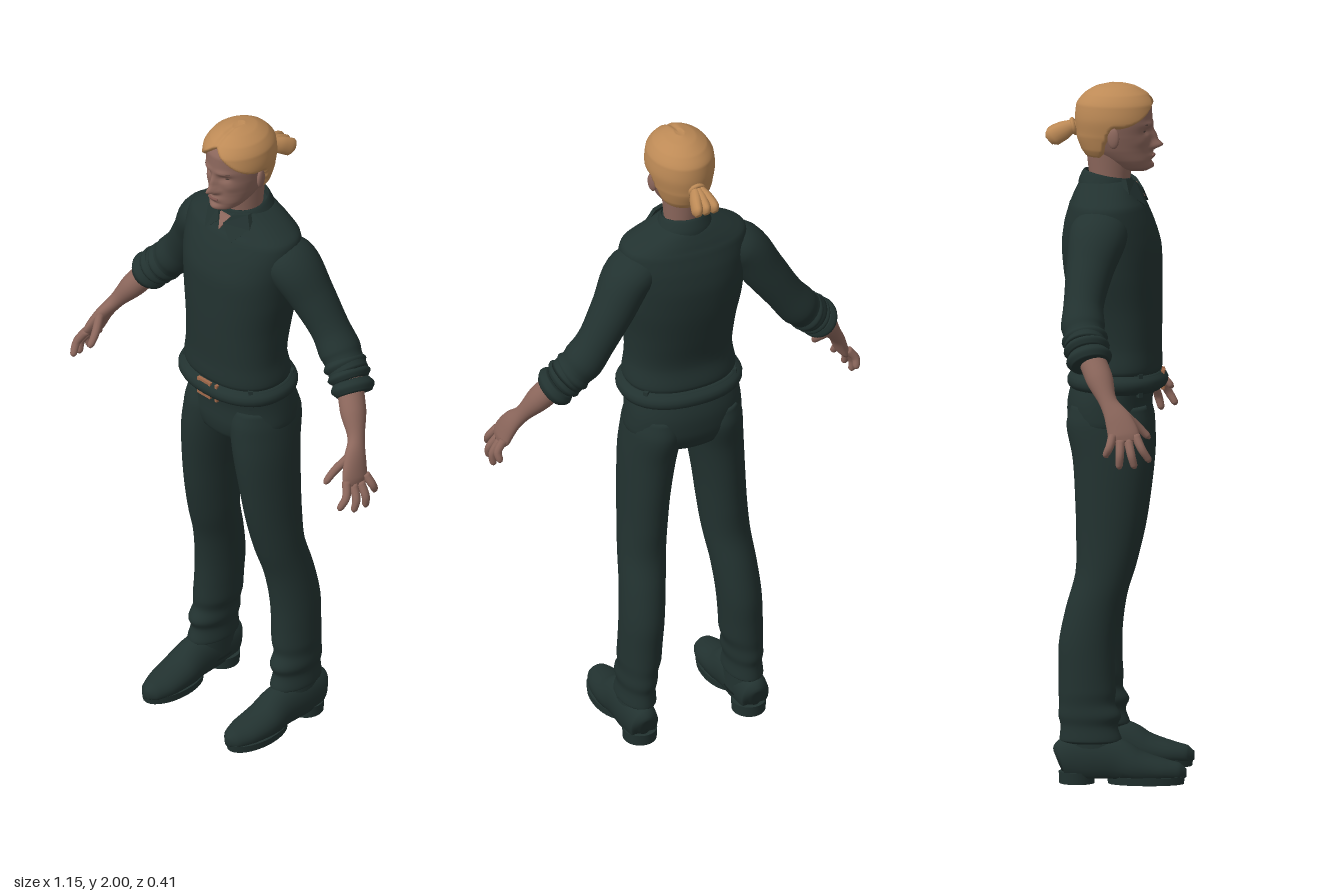
import * as THREE from 'three';

const mat = (name, color, side = THREE.FrontSide) => {
  const m = new THREE.MeshStandardMaterial({ color, side });
  m.name = name;
  return m;
};
const X = new THREE.Vector3(1, 0, 0), Y = new THREE.Vector3(0, 1, 0), Z = new THREE.Vector3(0, 0, 1);

// Smooth skin over elliptical sections [x, y, z, radiusAlongRef, radiusAcross].
// flat keeps every section horizontal; e squares the section; warp moves each vertex.
function loft(rows, { ref = Z, flat = false, seg = 24, steps = 5, e = 2, caps = true, warp } = {}) {
  const path = new THREE.CatmullRomCurve3(rows.map(r => new THREE.Vector3(r[0], r[1], r[2])));
  const radii = new THREE.CatmullRomCurve3(rows.map(r => new THREE.Vector3(r[3], r[4], 0)));
  const n = (rows.length - 1) * steps, pos = [], idx = [];
  const power = v => Math.sign(v) * Math.abs(v) ** (2 / e);
  const push = v => { if (warp) warp(v); pos.push(v.x, v.y, v.z); };
  for (let i = 0; i <= n; i++) {
    const p = path.getPoint(i / n), r = radii.getPoint(i / n);
    const t = flat ? Y : path.getTangent(i / n);
    const axis = flat ? X : ref;
    const w = axis.clone().addScaledVector(t, -axis.dot(t)).normalize();
    const d = new THREE.Vector3().crossVectors(t, w);
    for (let j = 0; j < seg; j++) {
      const a = j / seg * Math.PI * 2;
      push(p.clone().addScaledVector(w, power(Math.cos(a)) * r.x).addScaledVector(d, power(Math.sin(a)) * r.y));
      if (i < n) {
        const k = (j + 1) % seg, A = i * seg + j, B = i * seg + k;
        idx.push(A, B, B + seg, A, B + seg, A + seg);
      }
    }
  }
  if (caps) {
    const c = pos.length / 3;
    push(path.getPoint(0));
    push(path.getPoint(1));
    for (let j = 0; j < seg; j++) {
      const k = (j + 1) % seg;
      idx.push(c, k, j, c + 1, n * seg + j, n * seg + k);
    }
  }
  const g = new THREE.BufferGeometry();
  g.setAttribute('position', new THREE.Float32BufferAttribute(pos, 3));
  g.setIndex(idx);
  g.computeVertexNormals();
  return g;
}
// Horizontal section given by height, half width, front z and back z
const level = (y, rx, front, back, x = 0) => [x, y, (front + back) / 2, rx, (front - back) / 2];
const bump = (v, x, y, sx, sy) => Math.exp(-(((v.x - x) / sx) ** 2) - ((v.y - y) / sy) ** 2);
const smooth = THREE.MathUtils.smoothstep;

export function createModel() {
  const model = new THREE.Group();
  const cloth = mat('dark green cloth', 0x223230), skin = mat('skin', 0x8c675c), hair = mat('blond hair', 0xbd8a56);
  const brown = mat('buckle brown', 0xa0694a), dark = mat('eye dark', 0x453631), lip = mat('lips', 0x7c544d);
  const add = (name, geo, material, parent = model) => {
    const m = new THREE.Mesh(geo, material);
    m.name = name;
    parent.add(m);
    return m;
  };
  const ball = (name, material, x, y, z, rx, ry, rz) => {
    const m = add(name, new THREE.SphereGeometry(1, 16, 12), material);
    m.position.set(x, y, z);
    m.scale.set(rx, ry, rz);
    return m;
  };

  // Shirt body and trouser seat
  add('shirt', loft([level(1.16, .155, .108, -.12), level(1.185, .167, .12, -.13), level(1.25, .158, .118, -.12),
    level(1.35, .162, .12, -.14), level(1.45, .177, .12, -.16), level(1.53, .185, .117, -.167), level(1.6, .192, .097, -.16),
    level(1.655, .188, .072, -.145), level(1.685, .145, .05, -.132), level(1.715, .085, .032, -.115), level(1.725, .06, .025, -.1)],
    { flat: true, seg: 40, e: 2.25 }), cloth);
  add('trouserSeat', loft([level(.945, .04, .04, -.08), level(.975, .13, .083, -.13), level(1.03, .176, .092, -.15),
    level(1.09, .172, .092, -.15), level(1.16, .163, .11, -.13)], { flat: true, seg: 36, e: 2.2 }), cloth);

  // Belt with buckle, keeper and loops
  add('belt', loft([level(1.118, .166, .112, -.134), level(1.123, .171, .12, -.138), level(1.167, .171, .122, -.136),
    level(1.172, .165, .116, -.13)], { flat: true, seg: 40, e: 2.25 }), cloth);
  const frame = new THREE.Shape([[-.03, -.027], [.022, -.027], [.022, .027], [-.03, .027]].map(p => new THREE.Vector2(...p)));
  frame.holes.push(new THREE.Path([[-.022, -.019], [-.022, .019], [.014, .019], [.014, -.019]].map(p => new THREE.Vector2(...p))));
  add('buckle', new THREE.ExtrudeGeometry(frame, { depth: .01, bevelEnabled: false }), brown).position.set(0, 1.145, .118);
  add('bucklePin', new THREE.BoxGeometry(.04, .005, .006), brown).position.set(-.004, 1.145, .125);
  add('beltKeeper', new THREE.BoxGeometry(.009, .056, .01), brown).position.set(.042, 1.145, .12);
  for (const a of [.9, 2.2, 4.1, 5.3]) {
    const m = add('beltLoop', new THREE.BoxGeometry(.014, .066, .012), cloth);
    m.position.set(Math.sin(a) * .171, 1.144, -.008 + Math.cos(a) * .133);
    m.rotation.y = a;
  }

  // Neck and folded collar
  add('neck', loft([[0, 1.66, -.03, .05, .05], [0, 1.74, -.03, .054, .06], [0, 1.83, -.03, .06, .07]], { flat: true }), skin);
  add('collar', loft([[0, 1.685, -.04, .092, .082], [0, 1.71, -.04, .084, .079], [0, 1.74, -.038, .069, .069],
    [0, 1.745, -.038, .064, .064], [0, 1.70, -.038, .06, .06]],
    { flat: true, seg: 36, caps: false, warp: v => { v.y -= .2 * (v.z + .05) + .004; } }), cloth);
  const onChest = (pts, depth, lift) => {
    const g = new THREE.ExtrudeGeometry(new THREE.Shape(pts.map(p => new THREE.Vector2(...p))), { depth, bevelEnabled: false });
    const p = g.attributes.position;
    for (let i = 0; i < p.count; i++) {
      p.setZ(i, p.getZ(i) + lift + .07 - (p.getY(i) - 1.655) * .6 - p.getX(i) ** 2 * 5);
    }
    g.computeVertexNormals();
    return g;
  };
  add('openNeck', onChest([[-.02, 1.712], [0, 1.672], [.02, 1.712]], .006, .006), skin);
  for (const s of [-1, 1]) {
    add('collarFlap', onChest([[.01, 1.695], [.052, 1.652], [.086, 1.69], [.068, 1.73], [.03, 1.722]].map(p => [p[0] * s, p[1]]),
      .014, .005), cloth);
  }

  // Head with the face shaped by soft bumps
  add('head', loft([level(1.747, .02, .075, .02), level(1.757, .042, .09, -.02), level(1.78, .058, .092, -.06),
    level(1.81, .07, .089, -.095), level(1.85, .08, .09, -.115), level(1.89, .085, .092, -.12), level(1.93, .084, .09, -.118),
    level(1.965, .066, .065, -.09), level(1.988, .03, .03, -.05)], {
    flat: true, seg: 72, steps: 8, warp: v => {
      if (v.z < .02) return;
      const x = Math.abs(v.x), m = { x, y: v.y };
      v.z += .029 * bump(m, 0, 1.822, .012, .012) + .016 * bump(m, 0, 1.845, .009, .022)
        + .008 * bump(m, .014, 1.817, .008, .007) + .006 * bump(m, .03, 1.884, .022, .008)
        - .010 * bump(m, .032, 1.865, .016, .010) + .008 * bump(m, 0, 1.792, .022, .009)
        - .004 * bump(m, 0, 1.777, .02, .005) + .006 * bump(m, 0, 1.762, .02, .009) + .004 * bump(m, .05, 1.835, .016, .014);
    }
  }), skin);
  ball('mouth', lip, 0, 1.792, .094, .02, .005, .006);
  for (const s of [-1, 1]) {
    ball('eye', dark, s * .032, 1.864, .068, .011, .0045, .006);
    ball('eyebrow', dark, s * .034, 1.884, .081, .018, .003, .005).rotation.y = s * .45;
    ball('ear', skin, s * .086, 1.85, -.014, .009, .03, .018).rotation.y = s * .3;
  }

  // Hair shell, tucked under the skin below the hairline
  add('hair', loft([level(1.785, .055, .02, -.095), level(1.81, .075, .06, -.112), level(1.85, .09, .098, -.126),
    level(1.9, .098, .104, -.13), level(1.94, .094, .1, -.126), level(1.97, .076, .078, -.103), level(1.99, .046, .045, -.07),
    level(2, .012, .01, -.03)], {
    flat: true, seg: 96, steps: 9, warp: v => {
      const front = Math.max(1.878, 1.962 - .9 * Math.abs(v.x));
      const line = THREE.MathUtils.lerp(1.785, front, smooth(v.z, -.06, -.015));
      const k = .8 + .2 * smooth(v.y, line - .008, line + .008);
      v.x *= k;
      v.z = -.015 + (v.z + .015) * k;
      if (v.z > -.02) v.y -= .005 * Math.exp(-((v.x / .008) ** 2));
    }
  }), hair);
  // Ponytail: three strands and a tie
  for (const s of [-1, 0, 1]) {
    add('ponytailStrand', loft([[s * .004, 1.875, -.11, .012, .015], [s * .008, 1.872, -.135, .014, .018],
      [s * .017, 1.858, -.165, .018, .026], [s * .025, 1.843, -.192, .016, .027], [s * .026, 1.833, -.203, .008, .014]],
      { ref: X, seg: 16 }), hair);
  }
  const tie = add('hairTie', new THREE.TorusGeometry(.02, .007, 8, 20), hair);
  tie.position.set(0, 1.872, -.133);
  tie.rotation.x = -.3;

  for (const s of [-1, 1]) {
    const side = rows => rows.map(r => [r[0] * s, ...r.slice(1)]);
    const arm = new THREE.Group(), leg = new THREE.Group();
    arm.name = s > 0 ? 'leftArm' : 'rightArm';
    leg.name = s > 0 ? 'leftLeg' : 'rightLeg';
    model.add(arm, leg);

    // Sleeve, rolled cuff and forearm with palm
    add('sleeve', loft(side([[.11, 1.615, -.045, .07, .045], [.175, 1.58, -.052, .084, .068], [.235, 1.49, -.072, .068, .064],
      [.298, 1.395, -.085, .058, .057], [.335, 1.345, -.084, .063, .06], [.355, 1.322, -.08, .058, .056],
      [.385, 1.292, -.073, .06, .056]])), cloth, arm);
    const rolls = [[.352, 1.322, -.08], [.378, 1.298, -.073], [.4, 1.276, -.066], [.425, 1.247, -.056]];
    for (let i = 0; i < 3; i++) {
      const a = rolls[i], b = rolls[i + 1], mid = a.map((v, k) => (v + b[k]) / 2);
      add('cuffRoll', loft(side([[...a, .055, .049], [...mid, .067, .059], [...b, .055, .048]])), cloth, arm);
    }
    add('forearm', loft(side([[.385, 1.295, -.07, .04, .038], [.445, 1.212, -.03, .039, .036], [.488, 1.148, .0, .026, .022],
      [.512, 1.105, .028, .038, .02], [.53, 1.06, .046, .045, .018], [.538, 1.04, .05, .036, .012]])), skin, arm);

    // Fingers from base to tip, then the thumb
    const digits = [[.53, 1.06, .08, .543, .985, .12], [.537, 1.045, .06, .559, .969, .08],
      [.542, 1.045, .037, .563, .968, .038], [.54, 1.06, .015, .56, 1.0, .0], [.505, 1.115, .05, .48, 1.045, .118]];
    digits.forEach(([x, y, z, tx, ty, tz], i) => {
      const thumb = i === 4, bend = thumb ? -.006 : .012;
      add(thumb ? 'thumb' : 'finger', loft(side([[x, y, z, .013, .013], [(x + tx) / 2 + bend, (y + ty) / 2, (z + tz) / 2, .012, .012],
        [tx, ty + .008, tz - (thumb ? .008 : .002), .01, .01], [tx, ty, tz, .004, .004]]), { seg: 10, ref: thumb ? X : Z }), skin, arm);
    });

    // Trouser leg with gathered hem
    add('trouserLeg', loft(side([level(.115, .045, 0, -.15, .168), level(.125, .054, .016, -.163, .168), level(.165, .05, .004, -.16, .167),
      level(.195, .055, .014, -.166, .166), level(.23, .054, -.004, -.164, .164), level(.265, .06, -.002, -.166, .16),
      level(.32, .061, -.005, -.166, .157), level(.4, .063, -.004, -.166, .152), level(.5, .065, .01, -.147, .143),
      level(.6, .068, .04, -.12, .132), level(.7, .07, .064, -.118, .124), level(.8, .073, .08, -.121, .117),
      level(.93, .08, .094, -.13, .104), level(1.02, .083, .093, -.148, .092), level(1.08, .07, .08, -.135, .09)]),
      { flat: true, seg: 28 }), cloth, leg);

    // Shoe: ankle, upper, sole and heel
    add('shoeAnkle', loft(side([level(.05, .05, .03, -.162, .172), level(.1, .047, .015, -.155, .17), level(.16, .044, -.005, -.15, .168)]),
      { flat: true }), cloth, leg);
    add('shoeUpper', loft(side([[.174, .06, -.165, .015, .03], [.174, .065, -.153, .042, .06], [.174, .065, -.08, .05, .075],
      [.172, .062, 0, .052, .068], [.172, .045, .06, .057, .052], [.168, .035, .13, .052, .038], [.166, .03, .18, .034, .03],
      [.165, .03, .2, .01, .014]]), { ref: X, warp: v => { v.y = Math.max(v.y, .018); } }), cloth, leg);
    const pad = (name, z, rx, h, rz) => {
      const m = add(name, new THREE.CylinderGeometry(1, .97, 1, 28), cloth, leg);
      m.position.set(s * .171, h / 2, z);
      m.scale.set(rx, h, rz);
    };
    pad('sole', .085, .058, .022, .112);
    pad('heel', -.113, .05, .034, .052);
  }
  return model;
}
